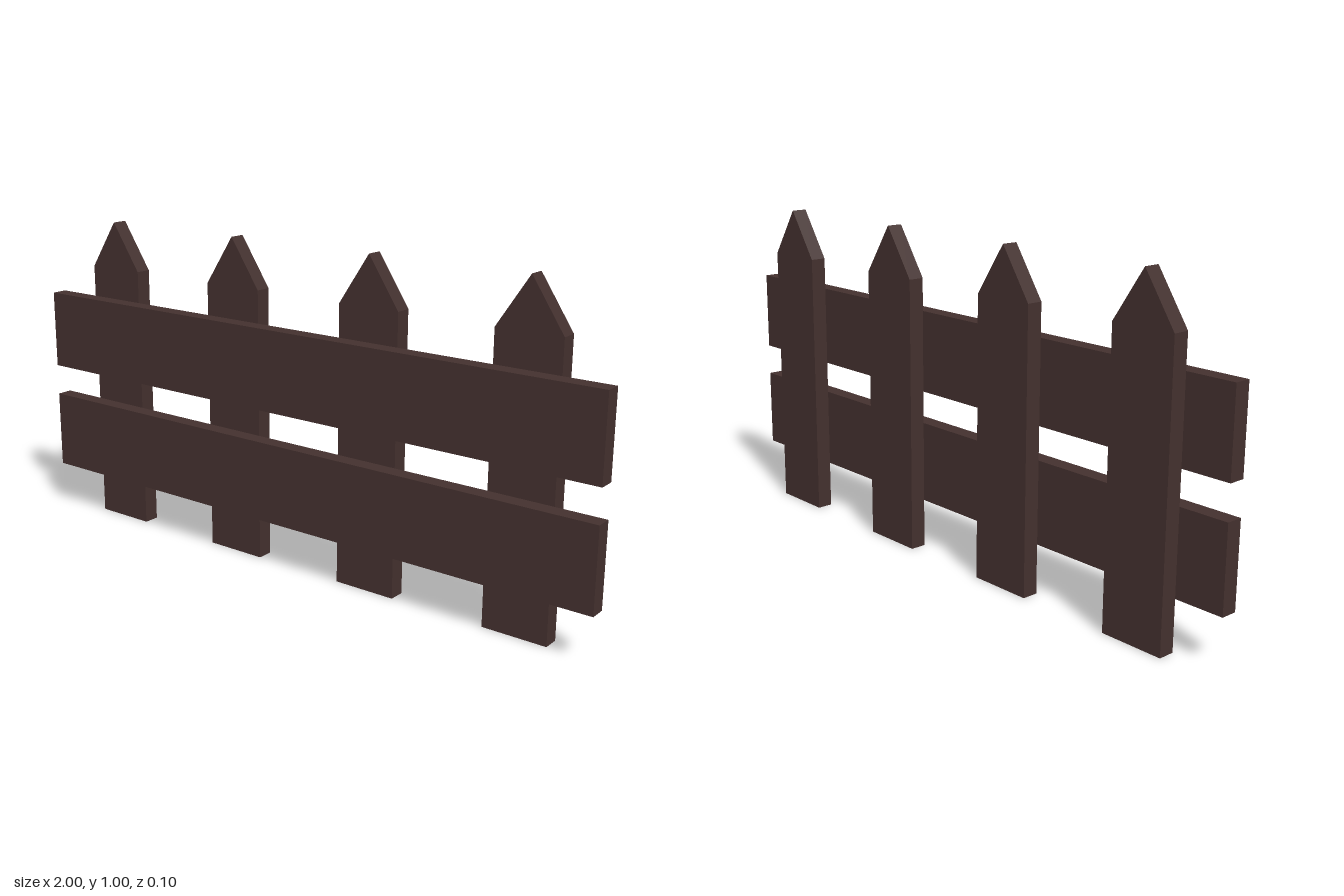
import * as THREE from 'three';

export function createModel() {
  const fence = new THREE.Group();
  fence.name = 'picketFence';
  const wood = new THREE.MeshStandardMaterial({ color: 0x43302e, flatShading: true });
  const thickness = 0.05;

  const add = (name, geometry, x, y, z) => {
    const mesh = new THREE.Mesh(geometry, wood);
    mesh.name = name;
    mesh.position.set(x, y, z);
    fence.add(mesh);
  };

  // Pointed pickets, behind the rails
  const outline = new THREE.Shape([
    new THREE.Vector2(-0.1, 0),
    new THREE.Vector2(0.1, 0),
    new THREE.Vector2(0.1, 0.85),
    new THREE.Vector2(0, 1),
    new THREE.Vector2(-0.1, 0.85),
  ]);
  const picket = new THREE.ExtrudeGeometry(outline, { depth: thickness, bevelEnabled: false });
  for (let i = 0; i < 4; i++) add(`picket${i + 1}`, picket, -0.75 + i * 0.5, 0, -thickness);

  // Horizontal rails across the front
  const rail = new THREE.BoxGeometry(2, 0.25, thickness);
  add('lowerRail', rail, 0, 0.275, thickness / 2);
  add('upperRail', rail, 0, 0.625, thickness / 2);

  return fence;
}
